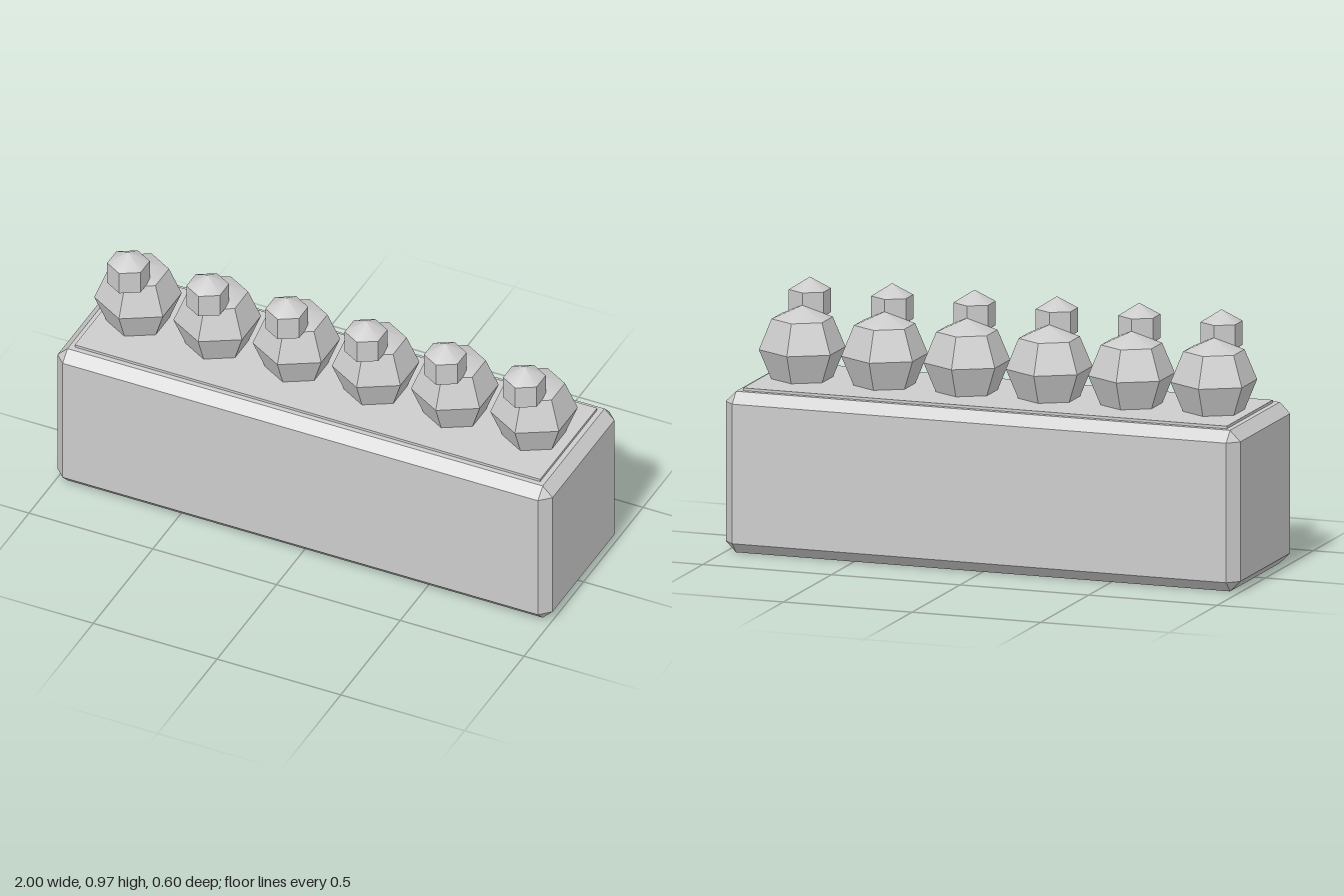
import * as THREE from 'three';
import { toCreasedNormals } from 'three/addons/utils/BufferGeometryUtils.js';
import { ConvexGeometry } from 'three/addons/geometries/ConvexGeometry.js';

const grey = new THREE.MeshStandardMaterial({ color: 0xcccccc });
grey.name = 'grey';

function addMesh(parent, name, geometry, x = 0, y = 0, z = 0) {
  const mesh = new THREE.Mesh(geometry, grey);
  mesh.name = name;
  mesh.position.set(x, y, z);
  parent.add(mesh);
  return mesh;
}

// Box centred on the origin with flat chamfers and triangular corners
function chamferedBox(w, h, d, c) {
  const points = [];
  for (const sx of [-1, 1]) for (const sy of [-1, 1]) for (const sz of [-1, 1]) {
    const x = w / 2, y = h / 2, z = d / 2;
    points.push(
      new THREE.Vector3(sx * x, sy * (y - c), sz * (z - c)),
      new THREE.Vector3(sx * (x - c), sy * y, sz * (z - c)),
      new THREE.Vector3(sx * (x - c), sy * (y - c), sz * z)
    );
  }
  return new ConvexGeometry(points);
}

// Six-sided faceted ball with corners facing front and back, softly shaded caps
function hexBall(radius, rings) {
  const ball = new THREE.SphereGeometry(radius, 6, rings).rotateY(Math.PI / 2);
  return toCreasedNormals(ball, 0.6);
}

export function createModel() {
  const model = new THREE.Group();
  model.name = 'planterBox';

  // Planter body and soil
  addMesh(model, 'planter', chamferedBox(2, 0.6, 0.6, 0.04), 0, 0.3, 0);
  addMesh(model, 'soil', new THREE.BoxGeometry(1.88, 0.02, 0.48), 0, 0.6, 0);

  // Row of six plants, each a bush with a blossom towards the front
  const bushGeometry = hexBall(0.16, 4);
  const blossomGeometry = hexBall(0.09, 3);
  for (let i = 0; i < 6; i++) {
    const plant = new THREE.Group();
    plant.name = `plant${i + 1}`;
    plant.position.x = -0.8 + i * 0.32;
    addMesh(plant, 'bush', bushGeometry, 0, 0.72, 0);
    addMesh(plant, 'blossom', blossomGeometry, 0, 0.88, 0.08);
    model.add(plant);
  }
  return model;
}
